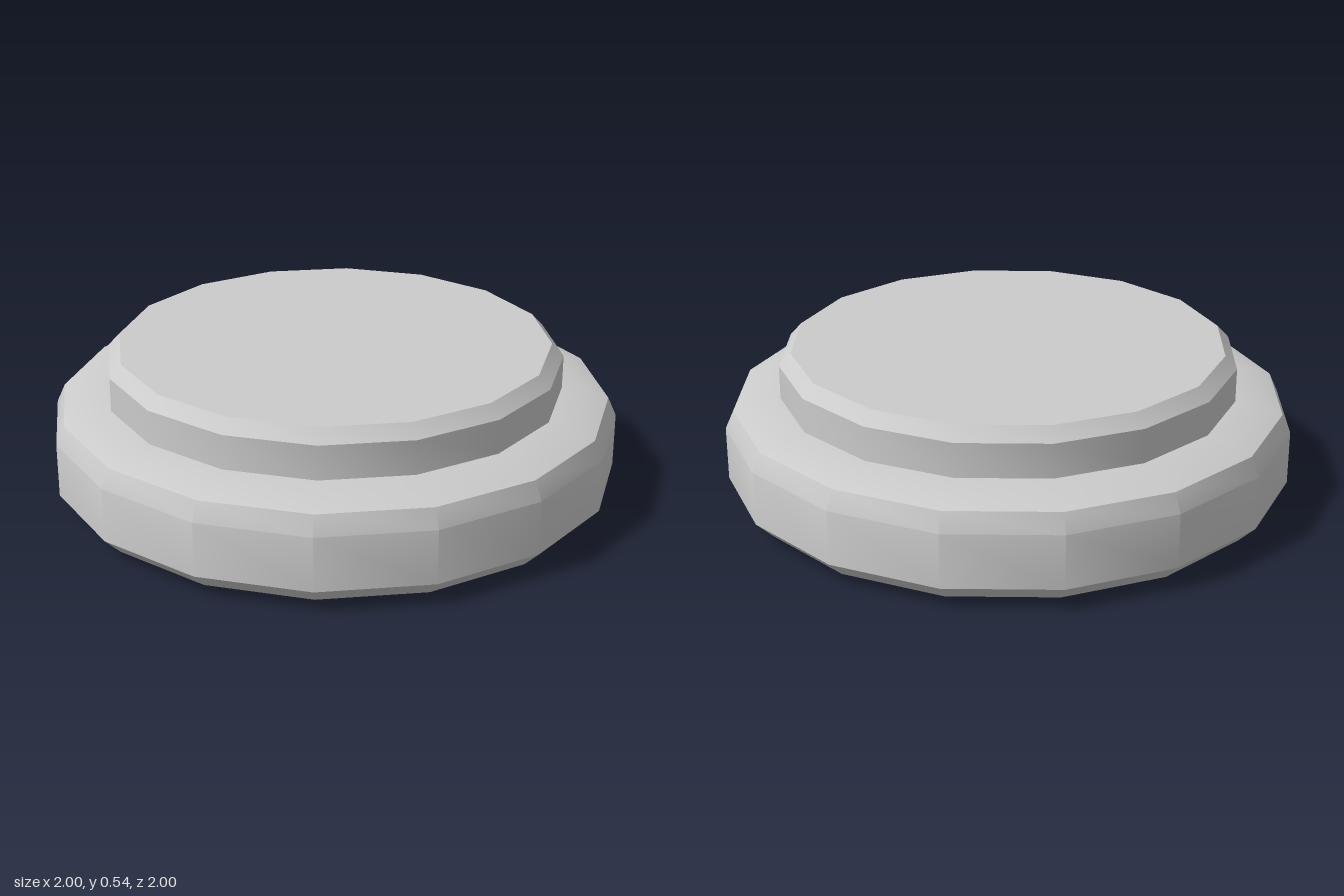
import * as THREE from 'three';
import { toCreasedNormals } from 'three/addons/utils/BufferGeometryUtils.js';

const SIDES = 16;
const material = new THREE.MeshStandardMaterial({ color: 0xcccccc });

// Revolves [radius, height] pairs, listed from bottom to top
function turned(name, profile) {
  const points = profile.map(([r, y]) => new THREE.Vector2(r, y));
  const geometry = toCreasedNormals(new THREE.LatheGeometry(points, SIDES), 0.5);
  const mesh = new THREE.Mesh(geometry, material);
  mesh.name = name;
  return mesh;
}

export function createModel() {
  const group = new THREE.Group();
  group.name = 'steppedDisc';

  // Wide base: slightly domed underside, bevelled foot, rounded shoulder
  group.add(turned('base', [
    [0, 0], [0.94, 0.02], [1, 0.08], [1, 0.27],
    [0.97, 0.335], [0.9, 0.36], [0.805, 0.37],
  ]));

  // Raised disc with a bevelled rim and flat top
  group.add(turned('raisedTop', [
    [0.805, 0.37], [0.805, 0.49], [0.763, 0.535], [0, 0.535],
  ]));

  return group;
}
